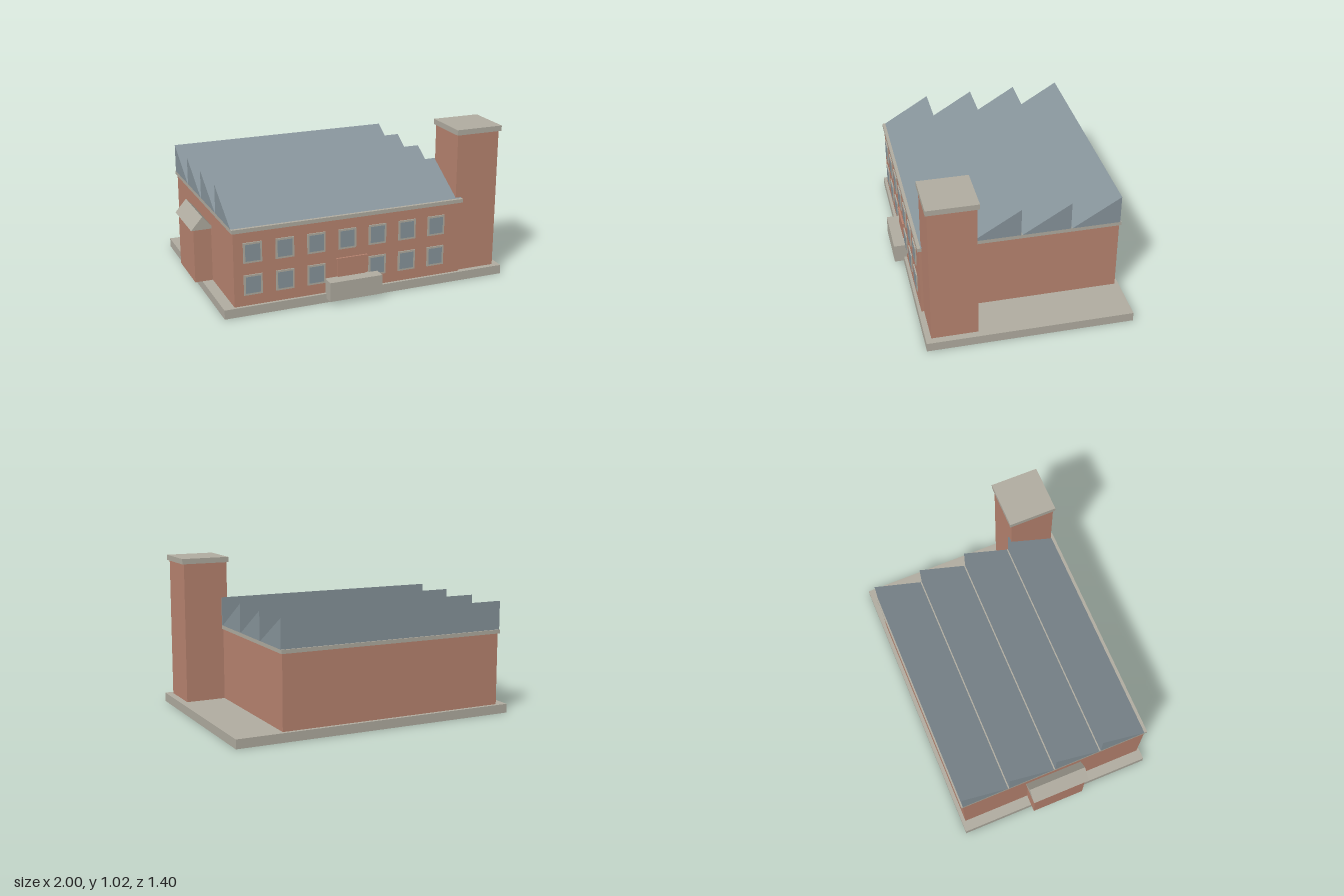
import * as THREE from 'three';

const brick = new THREE.MeshStandardMaterial({ color: 0xb88470 });
brick.name = 'brick';
const stone = new THREE.MeshStandardMaterial({ color: 0xb0aca0 });
stone.name = 'stone';
const slate = new THREE.MeshStandardMaterial({ color: 0x87949b });
slate.name = 'slate';

// Box given by its minimum and maximum on each axis
function box(name, material, [x0, x1], [y0, y1], [z0, z1]) {
  const mesh = new THREE.Mesh(new THREE.BoxGeometry(x1 - x0, y1 - y0, z1 - z0), material);
  mesh.position.set((x0 + x1) / 2, (y0 + y1) / 2, (z0 + z1) / 2);
  mesh.name = name;
  return mesh;
}

// Prism from a 2D outline, extruded along z from 0 to depth
function prism(name, material, points, depth) {
  const shape = new THREE.Shape(points.map(([x, y]) => new THREE.Vector2(x, y)));
  const geometry = new THREE.ExtrudeGeometry(shape, { depth, bevelEnabled: false });
  const mesh = new THREE.Mesh(geometry, material);
  mesh.name = name;
  return mesh;
}

// Stone frame with a slightly proud glazed pane
function makeWindow(x, y) {
  const group = new THREE.Group();
  group.name = 'window';
  group.add(
    box('windowFrame', stone, [x - 0.06, x + 0.06], [y - 0.066, y + 0.066], [0.613, 0.622]),
    box('windowPane', slate, [x - 0.048, x + 0.048], [y - 0.054, y + 0.054], [0.615, 0.623])
  );
  return group;
}

export function createModel() {
  const model = new THREE.Group();
  model.name = 'factory';

  // Plinth, main hall and cornice
  model.add(
    box('plinth', stone, [-0.935, 0.997], [0, 0.06], [-0.7, 0.635]),
    box('mainHall', brick, [-0.865, 0.685], [0.06, 0.54], [-0.675, 0.615]),
    box('cornice', stone, [-0.875, 0.695], [0.54, 0.565], [-0.687, 0.625])
  );

  // Sawtooth roof: each tooth rises toward the back, then drops vertically
  for (let i = 0; i < 4; i++) {
    const tooth = prism('roofTooth', slate, [[0, 0], [0.314, 0], [0, 0.19]], 1.57);
    // Turn the outline so that its x runs to +z and its depth runs along -x
    tooth.rotation.y = -Math.PI / 2;
    tooth.position.set(0.695, 0.565, -0.677 + i * 0.3225);
    model.add(tooth);
  }

  // Corner tower with cap
  model.add(
    box('tower', brick, [0.655, 0.952], [0.06, 0.99], [0.3, 0.598]),
    box('towerCap', stone, [0.645, 0.967], [0.99, 1.025], [0.287, 0.609])
  );

  // Two rows of windows; the door takes the middle place below
  for (let i = 0; i < 7; i++) {
    const x = -0.743 + i * 0.208;
    model.add(makeWindow(x, 0.406));
    if (i !== 3) model.add(makeWindow(x, 0.196));
  }

  // Entrance with lintel and step
  model.add(
    box('door', brick, [-0.183, 0.005], [0.06, 0.273], [0.61, 0.624]),
    box('doorLintel', brick, [-0.195, 0.017], [0.273, 0.282], [0.61, 0.627]),
    box('entranceStep', stone, [-0.267, 0.09], [0.03, 0.157], [0.61, 0.7])
  );

  // Side porch with a gabled roof
  model.add(box('porch', brick, [-0.982, -0.86], [0.06, 0.425], [-0.216, 0.146]));
  const gable = prism('porchRoof', stone, [[-1, 0.42], [-0.85, 0.42], [-0.925, 0.506]], 0.392);
  gable.position.z = -0.231;
  model.add(gable);

  return model;
}
